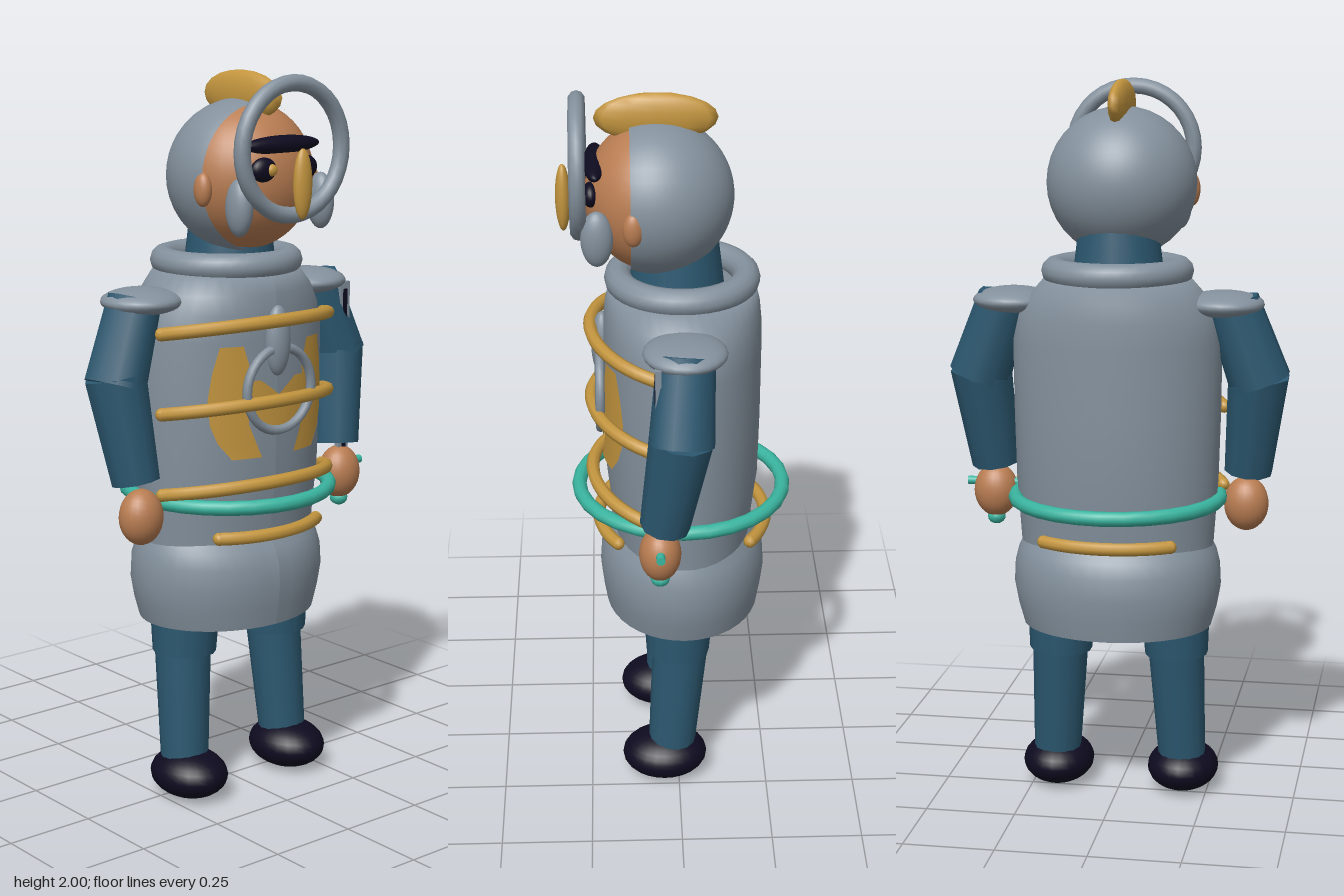
import * as THREE from 'three';

const mat = (name, color, side = THREE.FrontSide) => {
  const m = new THREE.MeshStandardMaterial({ color, side });
  m.name = name;
  return m;
};

export function createModel() {
  const steel = mat('steel', 0x84919d);
  const gold = mat('gold', 0xc4963f, THREE.DoubleSide);
  const cloth = mat('blue cloth', 0x2c5870);
  const skin = mat('skin', 0xb97d52);
  const dark = mat('dark', 0x0e0b20);
  const teal = mat('teal', 0x3ab5a0);

  const model = new THREE.Group();
  const add = (name, geo, material, x = 0, y = 0, z = 0) => {
    const m = new THREE.Mesh(geo, material);
    m.name = name;
    m.position.set(x, y, z);
    model.add(m);
    return m;
  };
  const ellipsoid = (name, material, p, r, ws = 24, hs = 16) =>
    add(name, new THREE.SphereGeometry(1, ws, hs).scale(...r), material, ...p);

  // tapered cylinder between two points
  const limb = (name, material, a, b, ra, rb, sides = 12) => {
    const A = new THREE.Vector3(...a), B = new THREE.Vector3(...b);
    const dir = A.clone().sub(B);
    const m = add(name, new THREE.CylinderGeometry(ra, rb, dir.length(), sides), material);
    m.position.copy(A).add(B).multiplyScalar(0.5);
    m.quaternion.setFromUnitVectors(new THREE.Vector3(0, 1, 0), dir.normalize());
    return m;
  };

  // closed body from elliptical rings [y, rx, rz], listed bottom to top
  const loft = (rings, n = 40) => {
    const pos = [], idx = [];
    for (const [y, rx, rz] of rings)
      for (let i = 0; i <= n; i++) {
        const a = (i / n) * Math.PI * 2;
        pos.push(rx * Math.sin(a), y, rz * Math.cos(a));
      }
    for (let j = 0; j < rings.length - 1; j++)
      for (let i = 0; i < n; i++) {
        const a = j * (n + 1) + i, b = a + n + 1;
        idx.push(a, a + 1, b, a + 1, b + 1, b);
      }
    const g = new THREE.BufferGeometry();
    g.setAttribute('position', new THREE.Float32BufferAttribute(pos, 3));
    g.setIndex(idx);
    g.computeVertexNormals();
    return g;
  };

  const bodyZ = -0.015;

  // torso, skirt and collar
  add('torso', loft([[0.7, 0.265, 0.185], [0.8, 0.272, 0.193], [0.92, 0.28, 0.208], [1.1, 0.285, 0.212],
    [1.3, 0.287, 0.213], [1.37, 0.272, 0.212], [1.42, 0.245, 0.207], [1.47, 0.2, 0.195], [1.475, 0, 0]]), steel, 0, 0, bodyZ);
  add('skirt', loft([[0.505, 0.262, 0.214], [0.56, 0.278, 0.223], [0.62, 0.289, 0.23],
    [0.68, 0.286, 0.226], [0.72, 0.276, 0.208], [0.75, 0.262, 0.186]]), steel, 0, 0, bodyZ);
  add('skirtBottom', new THREE.CircleGeometry(1, 40).rotateX(Math.PI / 2).scale(0.262, 1, 0.214), steel, 0, 0.505, bodyZ);
  add('collar', new THREE.TorusGeometry(0.17, 0.037, 12, 40).rotateX(Math.PI / 2), steel, 0, 1.49, bodyZ);
  add('neck', new THREE.CylinderGeometry(0.11, 0.13, 0.16, 20), cloth, 0, 1.52, 0);

  // gold bands wrapped around part of the body
  const band = (name, y, sag, rx, rz, from, to, r) => {
    const pts = [];
    const mid = (from + to) / 2;
    for (let i = 0; i <= 12; i++) {
      const a = from + ((to - from) * i) / 12;
      pts.push(new THREE.Vector3(rx * Math.sin(a), y - sag * (1 - Math.cos(a - mid)), bodyZ + rz * Math.cos(a)));
    }
    add(name, new THREE.TubeGeometry(new THREE.CatmullRomCurve3(pts), 28, r, 8), gold);
    for (const p of [pts[0], pts[12]]) ellipsoid(name + 'End', gold, [p.x, p.y, p.z], [r, r, r], 8, 6);
  };
  for (const y of [1.355, 1.14, 0.92]) band('chestBand', y, 0.045, 0.3, 0.247, -1.25, 1.25, 0.018);
  band('frontHipBand', 0.77, 0, 0.275, 0.232, -0.68, 0.68, 0.018);
  band('backHipBand', 0.77, 0, 0.275, 0.232, Math.PI - 0.68, Math.PI + 0.68, 0.018);
  add('belt', new THREE.TorusGeometry(0.283, 0.02, 10, 28).rotateX(Math.PI / 2), teal, 0, 0.865, -0.012);

  // chest emblem: curved plates following the torso, from rows [y, inner x, outer x]
  const plate = (name, rows, side) => {
    const pos = [], idx = [], n = 6;
    rows.forEach(([y, x0, x1], j) => {
      for (let i = 0; i <= n; i++) {
        const x = x0 + ((x1 - x0) * i) / n;
        pos.push(side * x, y, bodyZ + 0.222 * Math.sqrt(1 - (x / 0.292) ** 2));
        if (j && i) {
          const d = j * (n + 1) + i, b = d - n - 1;
          if (side > 0) idx.push(b - 1, d - 1, b, b, d - 1, d);
          else idx.push(b - 1, b, d - 1, b, d, d - 1);
        }
      }
    });
    const g = new THREE.BufferGeometry();
    g.setAttribute('position', new THREE.Float32BufferAttribute(pos, 3));
    g.setIndex(idx);
    g.computeVertexNormals();
    add(name, g, gold);
  };
  for (const s of [-1, 1]) {
    plate('emblemWing', [[1.29, 0.11, 0.17], [1.22, 0.088, 0.188], [1.15, 0.095, 0.198],
      [1.08, 0.095, 0.193], [1.03, 0.075, 0.175], [0.985, 0.055, 0.14]], s);
    plate('emblemHeart', [[1.195, 0.06, 0.09], [1.17, 0.025, 0.097], [1.15, 0, 0.1], [1.1, 0, 0.085], [1.065, 0, 0.05]], s);
  }
  add('emblemRing', new THREE.TorusGeometry(0.112, 0.013, 8, 32), steel, 0, 1.165, 0.208);
  ellipsoid('emblemDrop', steel, [0, 1.295, 0.2], [0.038, 0.095, 0.03]);

  // head and open-faced helmet
  const hy = 1.722, hz = 0.055;
  ellipsoid('head', skin, [0, hy, hz], [0.192, 0.198, 0.186], 32, 24);
  add('helmet', new THREE.SphereGeometry(0.205, 36, 20, 0, Math.PI * 2, 0, 1.9).rotateX(-Math.PI / 2), steel, 0, hy, hz);
  ellipsoid('crest', gold, [0, 1.932, 0.053], [0.03, 0.066, 0.16], 12, 10);
  add('visorRing', new THREE.TorusGeometry(0.17, 0.022, 10, 36), steel, 0, 1.803, 0.255);
  ellipsoid('nose', gold, [0, 1.717, 0.295], [0.028, 0.092, 0.02]);
  ellipsoid('brow', dark, [0, 1.813, 0.212], [0.128, 0.024, 0.028]);
  for (const s of [-1, 1]) {
    ellipsoid('eye', dark, [s * 0.07, 1.752, 0.222], [0.04, 0.032, 0.022]);
    ellipsoid('pupil', gold, [s * 0.057, 1.752, 0.24], [0.016, 0.016, 0.012], 12, 8);
    ellipsoid('ear', skin, [s * 0.185, 1.7, 0.115], [0.022, 0.045, 0.027]);
    ellipsoid('cheekGuard', steel, [s * 0.14, 1.658, 0.208], [0.032, 0.075, 0.042]);
  }

  // arms and legs
  for (const s of [-1, 1]) {
    const hand = s > 0 ? [0.36, 0.852, 0.055] : [-0.35, 0.84, 0.055];
    ellipsoid('shoulderPad', steel, [s * 0.29, 1.405, -0.013], [0.11, 0.036, 0.11]);
    limb('upperArm', cloth, [s * 0.312, 1.41, -0.015], [s * 0.39, 1.19, 0], 0.075, 0.086, 10);
    limb('forearm', cloth, [s * 0.386, 1.215, -0.002], [s * 0.356, 0.935, 0.042], 0.085, 0.067, 10);
    ellipsoid('hand', skin, hand, [0.062, 0.076, 0.056]);
    limb('thigh', cloth, [s * 0.16, 0.56, 0], [s * 0.165, 0.415, 0.002], 0.098, 0.088, 14);
    limb('shin', cloth, [s * 0.165, 0.43, -0.005], [s * 0.18, 0.1, 0.02], 0.078, 0.066, 14);
    ellipsoid('foot', dark, [s * 0.18, 0.07, 0.04], [0.1, 0.067, 0.12]);
  }

  // sword held upright in the left hand
  add('blade', new THREE.BoxGeometry(0.036, 0.52, 0.016), steel, 0.365, 1.14, 0.058);
  add('bladeGroove', new THREE.BoxGeometry(0.014, 0.5, 0.02), dark, 0.365, 1.13, 0.058);
  limb('crossguard', teal, [0.28, 0.876, 0.055], [0.44, 0.876, 0.055], 0.012, 0.012);
  limb('grip', dark, [0.36, 0.9, 0.055], [0.36, 0.775, 0.055], 0.015, 0.015);
  ellipsoid('pommel', teal, [0.36, 0.775, 0.055], [0.026, 0.022, 0.026], 12, 8);

  return model;
}
